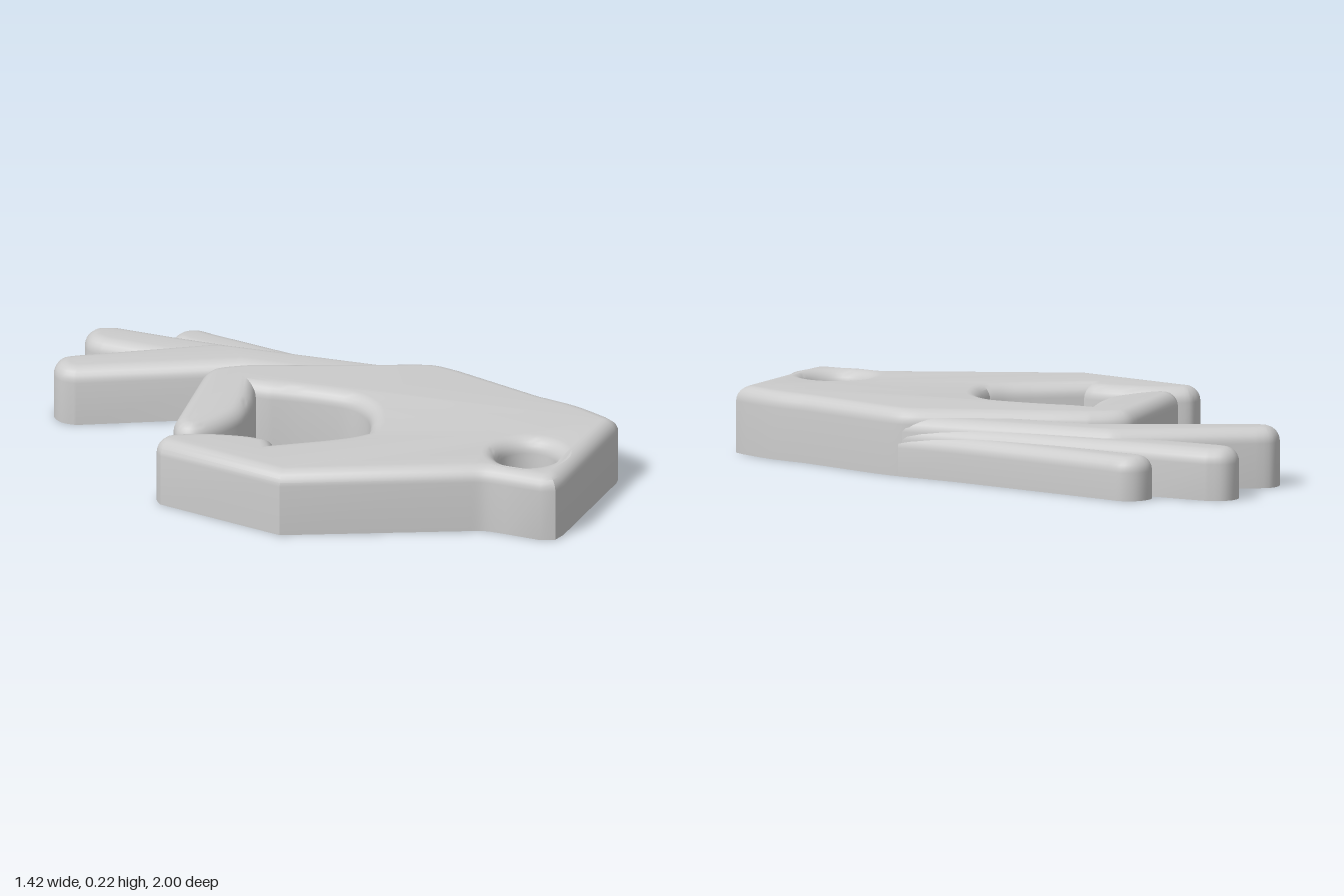
import * as THREE from 'three';
import { toCreasedNormals } from 'three/addons/utils/BufferGeometryUtils.js';

const material = new THREE.MeshStandardMaterial({ color: 0xcccccc });
const FILLET = 0.05;
const STEPS = 6;

// Joins runs of [x, z] points: each run is a smooth curve, runs meet at corners.
function outline(runs) {
  const pts = [];
  for (const run of runs) {
    const v = run.map(([x, z]) => new THREE.Vector2(x, -z));
    pts.push(...(v.length > 2 ? new THREE.SplineCurve(v).getPoints((v.length - 1) * 4) : v));
  }
  return pts;
}

// Moves every point into the solid (left of the path) with mitred corners.
function inset(pts, d) {
  const n = pts.length;
  return pts.map((p, i) => {
    const a = p.clone().sub(pts[(i + n - 1) % n]).normalize();
    const b = pts[(i + 1) % n].clone().sub(p).normalize();
    const m = new THREE.Vector2(-a.y - b.y, a.x + b.x).normalize();
    const c = Math.max(0.45, -m.x * a.y + m.y * a.x);
    return p.clone().addScaledVector(m, d / c);
  });
}

// Flat-bottomed slab with upright walls and a rounded top rim.
function slab(name, runs, height, holes = []) {
  const loops = [outline(runs), ...holes];
  loops.forEach((l, i) => {
    if (THREE.ShapeUtils.isClockWise(l) === (i === 0)) l.reverse();
  });
  const levels = [[0, 0]];
  for (let k = 0; k <= STEPS; k++) {
    const t = (k / STEPS) * Math.PI / 2;
    levels.push([FILLET * (1 - Math.cos(t)), height - FILLET + FILLET * Math.sin(t)]);
  }
  const pos = [];
  const tri = (...corners) => corners.forEach(([p, y]) => pos.push(p.x, y, -p.y));

  // walls and fillet
  for (const loop of loops) {
    const rings = levels.map(([d, y]) => inset(loop, d).map((p) => [p, y]));
    for (let k = 0; k < rings.length - 1; k++) {
      for (let i = 0; i < loop.length; i++) {
        const j = (i + 1) % loop.length;
        tri(rings[k][i], rings[k][j], rings[k + 1][j]);
        tri(rings[k][i], rings[k + 1][j], rings[k + 1][i]);
      }
    }
  }
  // bottom and top caps
  for (const [d, y, up] of [[0, 0, false], [FILLET, height, true]]) {
    const caps = loops.map((l) => inset(l, d));
    const all = caps.flat();
    for (const [a, b, c] of THREE.ShapeUtils.triangulateShape(caps[0], caps.slice(1))) {
      const f = up ? [a, b, c] : [a, c, b];
      tri(...f.map((i) => [all[i], y]));
    }
  }
  let geometry = new THREE.BufferGeometry();
  geometry.setAttribute('position', new THREE.Float32BufferAttribute(pos, 3));
  geometry = toCreasedNormals(geometry, 0.6);
  const mesh = new THREE.Mesh(geometry, material);
  mesh.name = name;
  return mesh;
}

export function createModel() {
  const group = new THREE.Group();
  group.name = 'hand';

  // round hole near the wrist
  const hole = [];
  for (let i = 0; i < 40; i++) {
    const a = (i / 40) * Math.PI * 2;
    hole.push(new THREE.Vector2(0.3 + 0.1 * Math.cos(a), -0.76 + 0.1 * Math.sin(a)));
  }

  // palm with thumb and bent index finger
  group.add(slab('palmThumbAndIndex', [
    // thumb tip and inner side
    [[-0.71, 0.07], [-0.7, 0.03], [-0.67, 0.005], [-0.63, 0], [-0.53, 0.045], [-0.42, 0.135], [-0.37, 0.2]],
    [[-0.363, 0.225]],
    [[-0.375, 0.25]],
    // inside of the ring
    [[-0.22, 0.3], [-0.13, 0.322], [-0.065, 0.325]],
    [[-0.03, 0.29], [0.015, 0.22], [0.04, 0.15], [0.035, 0.07], [-0.01, 0], [-0.09, -0.09], [-0.16, -0.155]],
    [[-0.185, -0.19]],
    // index finger underside, tip and knuckle
    [[-0.235, -0.12], [-0.315, -0.04], [-0.405, 0.0], [-0.51, 0.02], [-0.56, 0.005], [-0.582, -0.04], [-0.56, -0.095]],
    [[-0.29, -0.37], [-0.245, -0.4], [-0.19, -0.4], [-0.1, -0.37]],
    [[0.03, -0.29]],
    // back of the hand
    [[0.35, -0.105], [0.43, -0.05], [0.48, 0.04]],
    [[0.6, 0.36], [0.665, 0.49], [0.705, 0.63]],
    [[0.708, 0.67]],
    [[0.685, 0.695]],
    // wrist point
    [[0.315, 0.975]],
    [[0.27, 0.997]],
    [[0.225, 0.975]],
    [[0.15, 0.87], [0.105, 0.815], [0.055, 0.785]],
    // base of the thumb
    [[-0.5, 0.495]],
  ], 0.225, [hole]));

  // three fanned fingers, each lower than the one before
  group.add(slab('middleFinger', [
    [[-0.61, -0.645], [-0.642, -0.69], [-0.635, -0.75], [-0.59, -0.793], [-0.53, -0.785]],
    [[-0.11, -0.635], [-0.07, -0.615], [-0.04, -0.585]],
    [[0.43, -0.05]], [[0.36, 0.1]], [[0.12, -0.15]],
    [[-0.11, -0.415]],
  ], 0.2));

  group.add(slab('ringFinger', [
    [[-0.385, -0.86], [-0.403, -0.92], [-0.375, -0.98], [-0.32, -1], [-0.26, -0.97]],
    [[-0.13, -0.795]], [[0.06, -0.555]], [[0.215, -0.345]],
    [[0.43, -0.05]], [[0.36, 0.1]], [[0.15, -0.2]],
    [[-0.26, -0.69]],
  ], 0.172));

  group.add(slab('littleFinger', [
    [[-0.125, -0.78], [-0.13, -0.83], [-0.1, -0.87], [-0.05, -0.884], [0, -0.86], [0.03, -0.8]],
    [[0.32, -0.24]],
    [[0.44, -0.04]], [[0.36, 0.1]], [[0.2, -0.2]],
  ], 0.145));

  return group;
}
